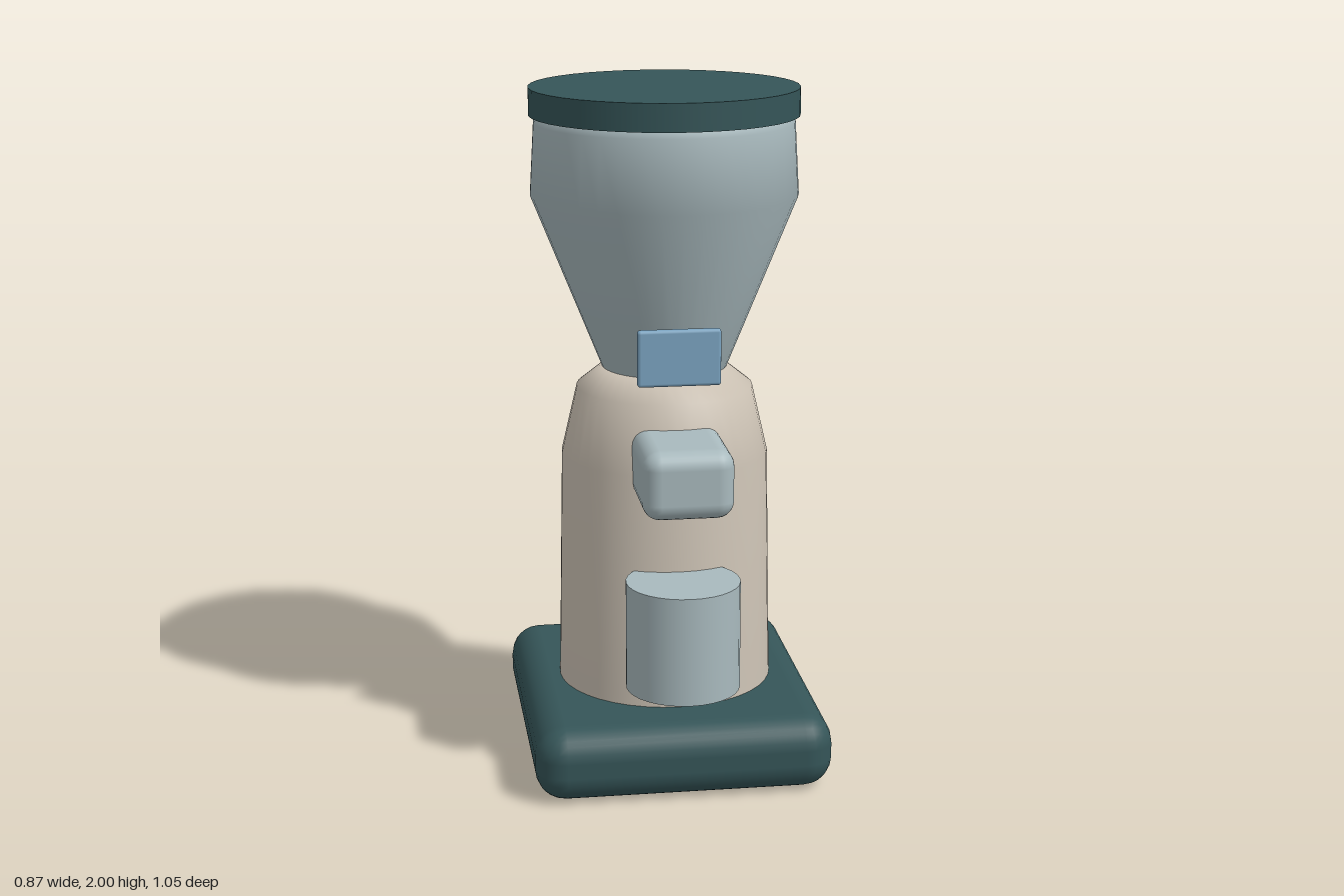
import * as THREE from 'three';
import { RoundedBoxGeometry } from 'three/addons/geometries/RoundedBoxGeometry.js';

const AXIS_Z = -0.025; // shared axis of base, body, hopper and lid

function material(name, color) {
  const m = new THREE.MeshStandardMaterial({ color });
  m.name = name;
  return m;
}

function lathe(profile) {
  return new THREE.LatheGeometry(profile.map(([r, y]) => new THREE.Vector2(r, y)), 40);
}

export function createModel() {
  const model = new THREE.Group();
  model.name = 'grinder';

  const teal = material('dark teal', 0x355558);
  const grey = material('pale blue grey', 0xa9babe);
  const beige = material('warm beige', 0xcec4b6);
  const blue = material('screen blue', 0x7ba4c1);

  const add = (name, geometry, mat, y, z) => {
    const mesh = new THREE.Mesh(geometry, mat);
    mesh.name = name;
    mesh.position.set(0, y, z);
    model.add(mesh);
  };

  // Rounded foot
  add('base', new RoundedBoxGeometry(0.87, 0.22, 1.0, 3, 0.088), teal, 0.11, AXIS_Z);

  // Tapered body with a sloped shoulder
  add('body', lathe([
    [0.32, 0.21], [0.319, 0.25], [0.306, 0.92], [0.26, 1.12], [0.185, 1.18], [0, 1.18],
  ]), beige, 0, AXIS_Z);

  // Flared bean hopper and flat lid
  add('hopper', lathe([
    [0.185, 1.18], [0.39, 1.69], [0.378, 1.9], [0.355, 1.925],
  ]), grey, 0, AXIS_Z);
  add('lid', new THREE.CylinderGeometry(0.392, 0.392, 0.08, 40), teal, 1.96, AXIS_Z);

  // Spout, its rear buried in the body
  add('spout', new RoundedBoxGeometry(0.26, 0.2, 0.4, 3, 0.05), grey, 0.95, 0.3);

  // Catch cup set into the front of the body
  add('cup', new THREE.CylinderGeometry(0.165, 0.165, 0.32, 32), grey, 0.475, 0.36);

  // Small display panel
  add('display', new RoundedBoxGeometry(0.24, 0.165, 0.026, 2, 0.01), blue, 1.27, 0.275);

  return model;
}
